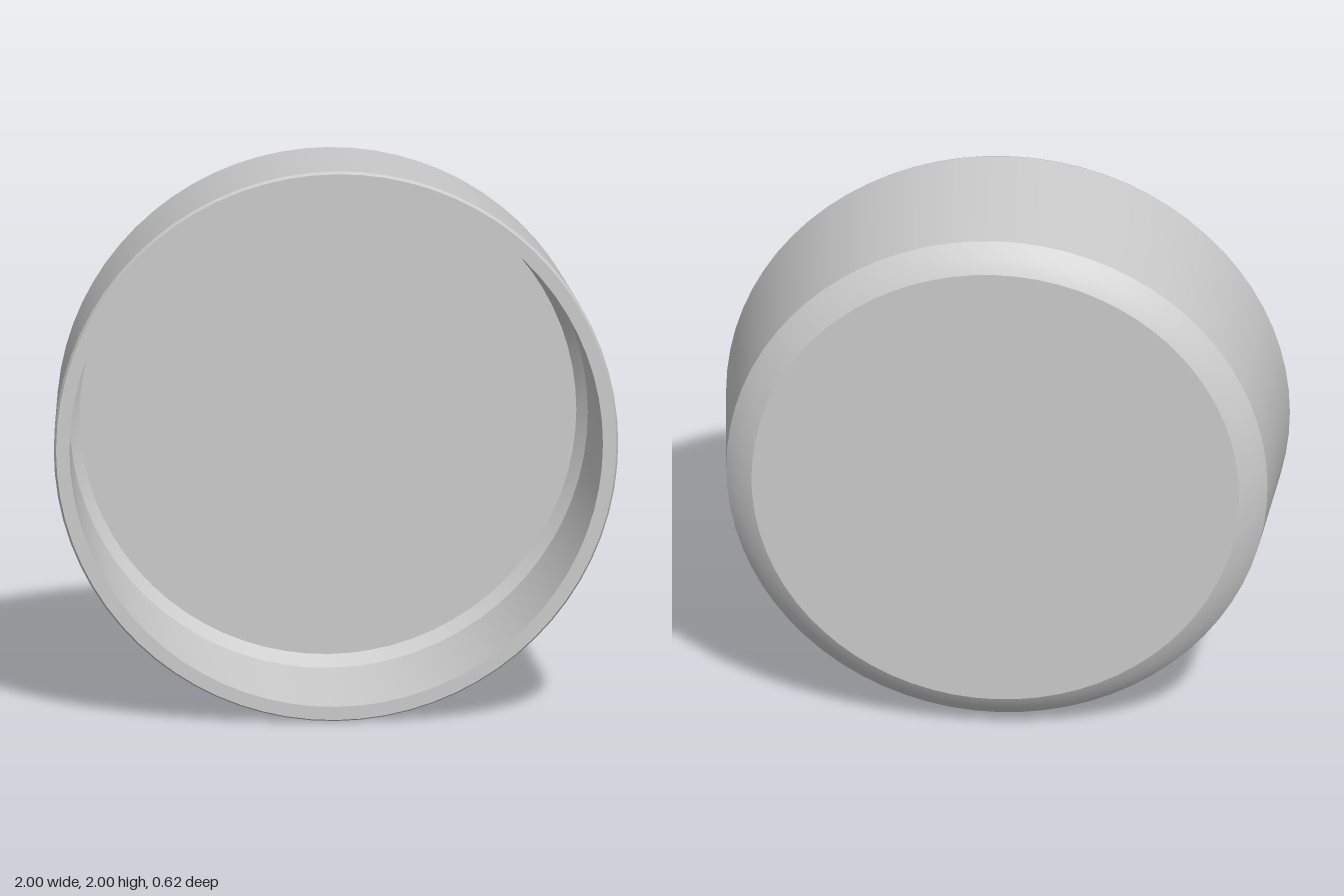
import * as THREE from 'three';
import { toCreasedNormals } from 'three/addons/utils/BufferGeometryUtils.js';

const SEGMENTS = 72;

// Turn a [radius, z] profile around the z axis, keeping its corners sharp
function turned(name, profile, material) {
  const points = profile.map(([r, z]) => new THREE.Vector2(r, z));
  const geometry = new THREE.LatheGeometry(points, SEGMENTS).rotateX(Math.PI / 2);
  const mesh = new THREE.Mesh(toCreasedNormals(geometry, 0.35), material);
  mesh.name = name;
  mesh.position.y = 1;
  return mesh;
}

export function createModel() {
  const group = new THREE.Group();
  group.name = 'roundCap';
  const grey = new THREE.MeshStandardMaterial({ color: 0xcccccc });

  // Flat back, chamfered edge and tapered outer wall
  group.add(turned('outerShell', [
    [0, -0.315], [0.865, -0.315], [0.915, -0.287], [0.96, -0.24], [1, 0.295], [0.993, 0.31],
  ], grey));

  // Flat front edge
  group.add(turned('rim', [[0.993, 0.31], [0.945, 0.31]], grey));

  // Tapered inner wall, chamfer and recessed floor
  group.add(turned('innerShell', [
    [0.945, 0.31], [0.918, -0.17], [0.88, -0.22], [0, -0.22],
  ], grey));

  return group;
}
